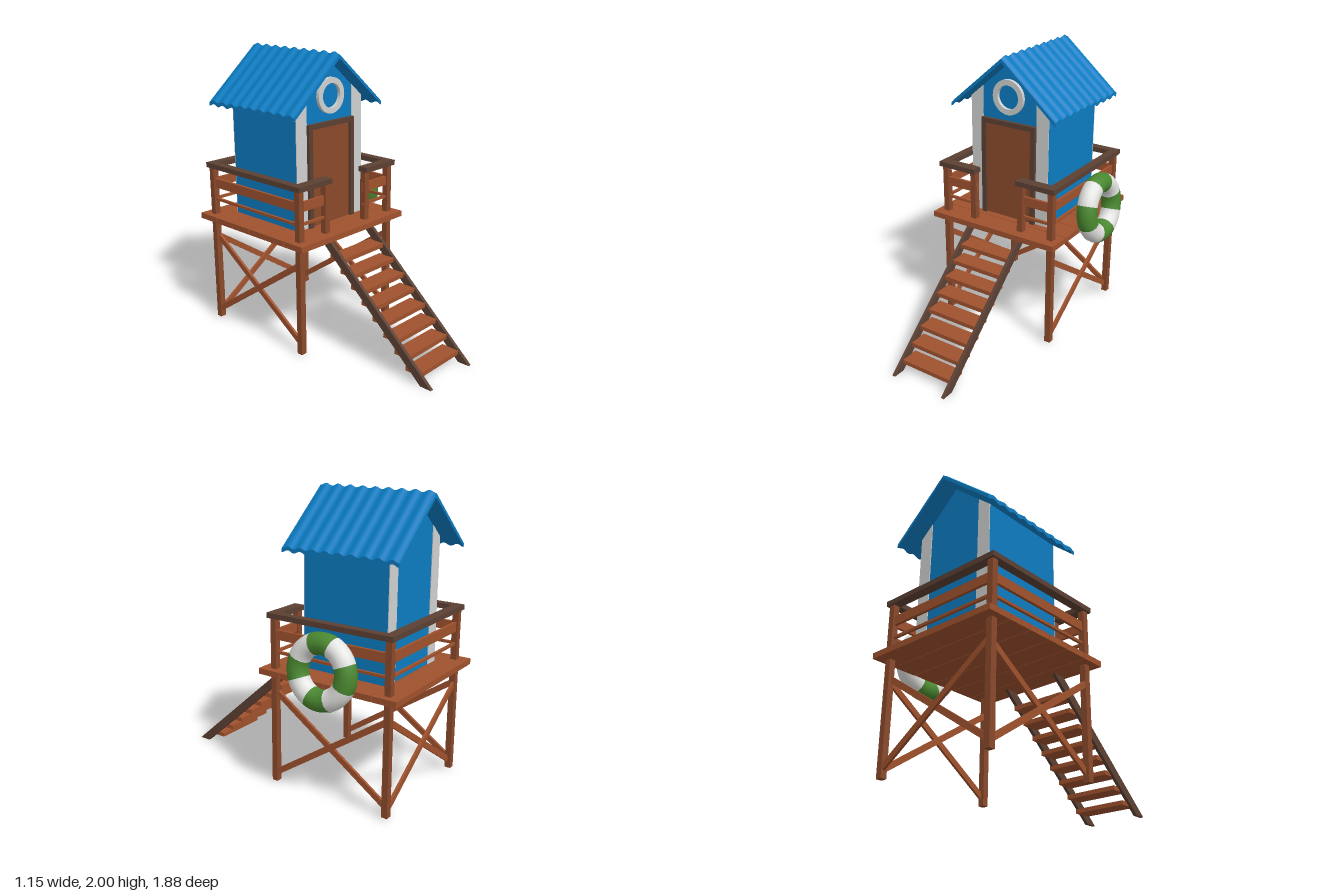
import * as THREE from 'three';

const mat = (name, color, opts = {}) => {
  const m = new THREE.MeshStandardMaterial({ color, ...opts });
  m.name = name;
  return m;
};

export function createModel() {
  const plank = mat('plank wood', 0xa0522d);
  const post = mat('post wood', 0x8b4a2b);
  const dark = mat('dark wood', 0x5c4033);
  const blue = mat('blue paint', 0x0c7cc2);
  const grey = mat('pale trim', 0xcfd2d0);
  const white = mat('white float', 0xe4e4e2);
  const green = mat('green float', 0x4a8830);

  const model = new THREE.Group();
  model.name = 'beachHut';
  const hut = new THREE.Group(); // local x = 0 is the middle of the hut
  hut.name = 'hut';
  hut.position.x = -0.075;
  model.add(hut);

  const add = (name, geo, m, parent = hut) => {
    const mesh = new THREE.Mesh(geo, m);
    mesh.name = name;
    parent.add(mesh);
    return mesh;
  };
  // box given by its limits on each axis
  const box = (name, m, x0, x1, y0, y1, z0, z1) => {
    const b = add(name, new THREE.BoxGeometry(x1 - x0, y1 - y0, z1 - z0), m);
    b.position.set((x0 + x1) / 2, (y0 + y1) / 2, (z0 + z1) / 2);
    return b;
  };
  const polygon = pts => new THREE.Shape(pts.map(p => new THREE.Vector2(...p)));
  const extrude = (shape, depth, curveSegments = 32) =>
    new THREE.ExtrudeGeometry(shape, { depth, bevelEnabled: false, curveSegments });

  const zFront = 0.0125, zBack = -0.855, px = 0.437, hw = 0.0215;
  const zMid = (zFront + zBack) / 2;

  // Deck planks
  for (let i = 0; i < 6; i++) {
    const z = 0.1 - i * 0.1745;
    box('deckPlank', plank, -0.505, 0.505, 0.78, 0.82, z - 0.17, z);
  }

  // Corner posts and short gate posts
  for (const s of [-1, 1]) {
    for (const z of [zFront, zBack])
      box('cornerPost', post, s * px - hw, s * px + hw, 0.01, 1.166, z - hw, z + hw);
    box('gatePost', post, s * 0.196 - hw, s * 0.196 + hw, 0.82, 1.166, zFront - hw, zFront + hw);
  }

  // Crossed braces on the back and both sides
  const brace = (span, x, z, turn) => {
    const g = new THREE.Group();
    g.name = 'crossBrace';
    g.position.set(x, 0.36, z);
    g.rotation.y = turn;
    for (const s of [-1, 1]) {
      const b = add('brace', new THREE.BoxGeometry(Math.hypot(span, 0.57), 0.04, 0.018), plank, g);
      b.rotation.z = s * Math.atan2(0.57, span);
      b.position.z = s * 0.009;
    }
    hut.add(g);
  };
  brace(0.84, 0, zBack, 0);
  for (const s of [-1, 1]) brace(0.84, s * px, zMid, Math.PI / 2);

  // Railings: wide and narrow slats under a dark cap
  for (const [y0, y1, d] of [[1.02, 1.085, 0.01], [0.924, 0.942, 0.009]]) {
    box('backSlat', plank, -px, px, y0, y1, zBack - d, zBack + d);
    for (const s of [-1, 1]) {
      box('sideSlat', plank, s * px - d, s * px + d, y0, y1, zBack, zFront);
      const x = s * 0.296;
      box('frontSlat', plank, x - 0.125, x + 0.125, y0, y1, zFront - d, zFront + d);
    }
  }
  box('backHandrail', dark, -0.475, 0.475, 1.165, 1.2, -0.89, -0.825);
  for (const s of [-1, 1]) {
    box('sideHandrail', dark, s * 0.445 - 0.03, s * 0.445 + 0.03, 1.165, 1.2, -0.825, -0.022);
    box('frontHandrail', dark, s * 0.323 - 0.152, s * 0.323 + 0.152, 1.165, 1.2, -0.022, 0.053);
  }

  // Stairs
  for (let k = 0; k < 8; k++) {
    const y = 0.053 + k * 0.0848, z = 0.72 - k * 0.0945;
    box('tread', plank, -0.2, 0.2, y, y + 0.03, z, z + 0.13);
  }
  const stringer = extrude(polygon([[-0.94, 0], [-0.855, 0], [0.02, 0.78], [-0.07, 0.78]]), 0.024);
  stringer.rotateY(Math.PI / 2); // shape x becomes -z
  for (const x of [-0.22, 0.196]) add('stringer', stringer, dark).position.x = x;

  // Cabin with a gable at each end
  const wallTop = x => 1.94 - 0.857 * Math.abs(x);
  const w = 0.315, cabinFront = -0.135, cabinBack = -0.76;
  add('cabin', extrude(polygon([[-w, 0.82], [w, 0.82], [w, wallTop(w)], [0, wallTop(0)], [-w, wallTop(w)]]),
    cabinFront - cabinBack), blue).position.z = cabinBack;

  // Pale corner boards, front and back
  for (const s of [-1, 1]) {
    const a = s < 0 ? -w : 0.217, b = s < 0 ? -0.217 : w;
    const board = extrude(polygon([[a, 0.82], [b, 0.82], [b, wallTop(b)], [a, wallTop(a)]]), 0.005);
    add('frontCornerBoard', board, grey).position.z = cabinFront;
    add('backCornerBoard', board, grey).position.z = cabinBack - 0.005;
  }

  // Door, frame and round window
  box('door', post, -0.185, 0.185, 0.82, 1.5, cabinFront, cabinFront + 0.008);
  for (const s of [-1, 1])
    box('doorJamb', dark, s * 0.201 - 0.018, s * 0.201 + 0.018, 0.82, 1.5, cabinFront, -0.108);
  box('doorLintel', dark, -0.219, 0.219, 1.5, 1.535, cabinFront, -0.108);
  const rim = new THREE.Shape().absarc(0, 0, 0.122, 0, Math.PI * 2);
  rim.holes.push(new THREE.Path().absarc(0, 0, 0.083, 0, Math.PI * 2, true));
  add('windowRim', extrude(rim, 0.025, 16), grey).position.set(0, 1.706, cabinFront);

  // Corrugated roof: a box sheared to the slope and rippled along z
  const depth = 0.85, waves = 9;
  const slope = new THREE.BoxGeometry(0.42, 0.026, depth, 1, 1, waves * 8);
  const p = slope.attributes.position;
  for (let i = 0; i < p.count; i++) {
    const x = p.getX(i) + 0.21;
    const ripple = 0.008 * Math.cos((p.getZ(i) / depth) * waves * Math.PI * 2);
    p.setXYZ(i, x, 1.978 - 0.857 * x + p.getY(i) + ripple, p.getZ(i));
  }
  slope.computeVertexNormals();
  for (const turn of [0, Math.PI]) {
    const r = add('roofSlope', slope, blue);
    r.rotation.y = turn;
    r.position.z = -0.46;
  }

  // Life ring hanging on the side railing, in eight coloured arcs
  const ring = new THREE.Group();
  ring.name = 'lifeRing';
  const arc = new THREE.TorusGeometry(0.18, 0.072, 14, 6, Math.PI / 4);
  for (let i = 0; i < 8; i++)
    add('ringArc', arc, i % 2 ? white : green, ring).rotation.z = (i - 0.5) * Math.PI / 4;
  ring.rotation.set(0, Math.PI / 2, 0.1, 'ZYX'); // top leans in over the rail
  ring.position.set(0.557, 0.917, -0.442);
  hut.add(ring);

  return model;
}
